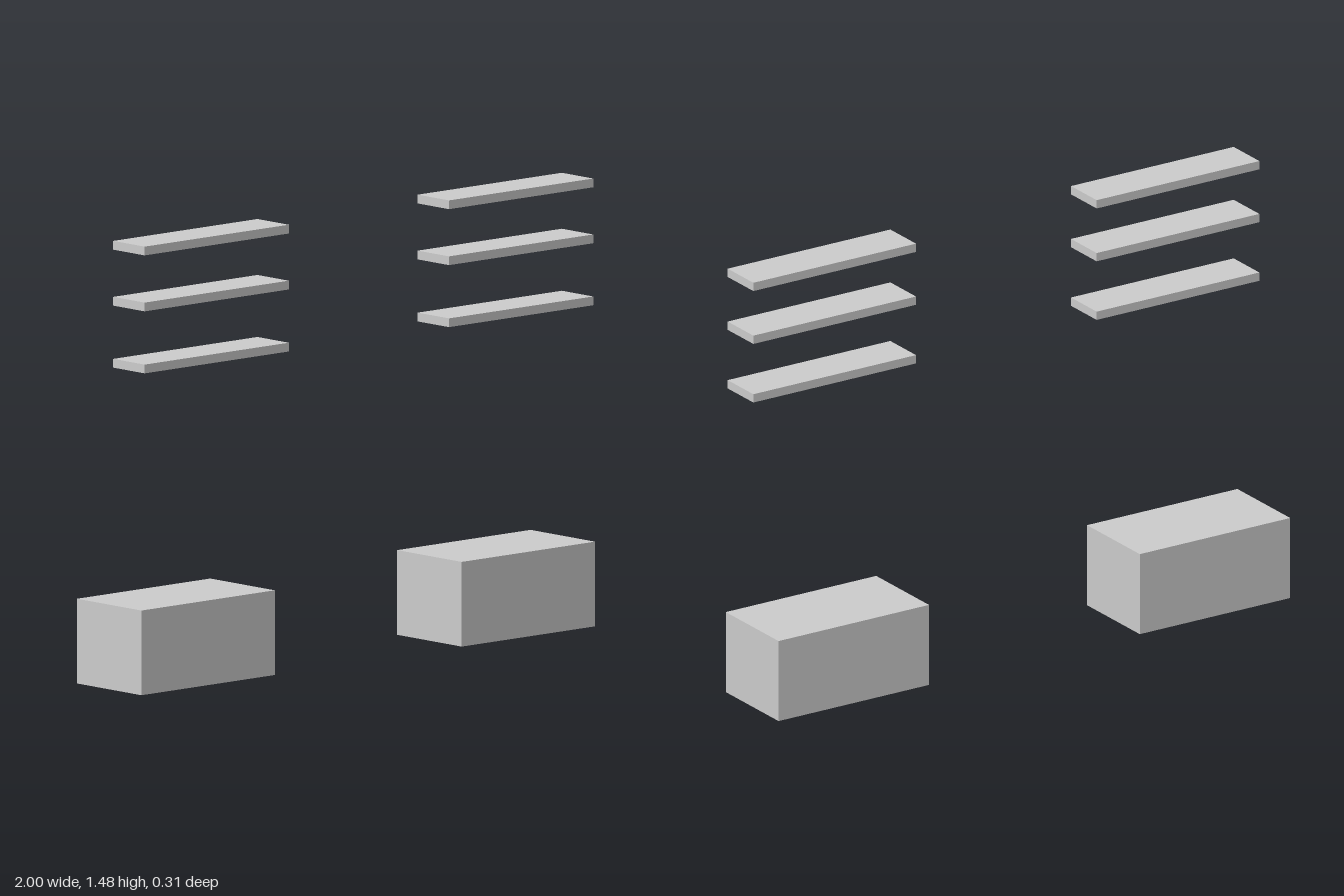
import * as THREE from 'three';

const material = new THREE.MeshStandardMaterial({ color: 0xcccccc });

// Box given by its size and the centre of its underside
function box(name, width, height, depth, x, bottom, z) {
  const mesh = new THREE.Mesh(new THREE.BoxGeometry(width, height, depth), material);
  mesh.name = name;
  mesh.position.set(x, bottom + height / 2, z);
  return mesh;
}

export function createModel() {
  const model = new THREE.Group();
  model.name = 'cabinetsAndShelves';

  const sides = [
    { name: 'right', cabinetX: -0.707, shelfX: -0.667 },
    { name: 'left', cabinetX: 0.705, shelfX: 0.675 },
  ];
  const shelves = [
    { name: 'lowerShelf', bottom: 1.062 },
    { name: 'middleShelf', bottom: 1.267 },
    { name: 'upperShelf', bottom: 1.452 },
  ];

  for (const side of sides) {
    const unit = new THREE.Group();
    unit.name = side.name + 'Unit';

    // Low cabinet on the floor
    unit.add(box('cabinet', 0.588, 0.28, 0.312, side.cabinetX, 0, 0));

    // Three floating shelves above its front half
    for (const shelf of shelves) {
      unit.add(box(shelf.name, 0.636, 0.029, 0.152, side.shelfX, shelf.bottom, 0.078));
    }
    model.add(unit);
  }
  return model;
}
